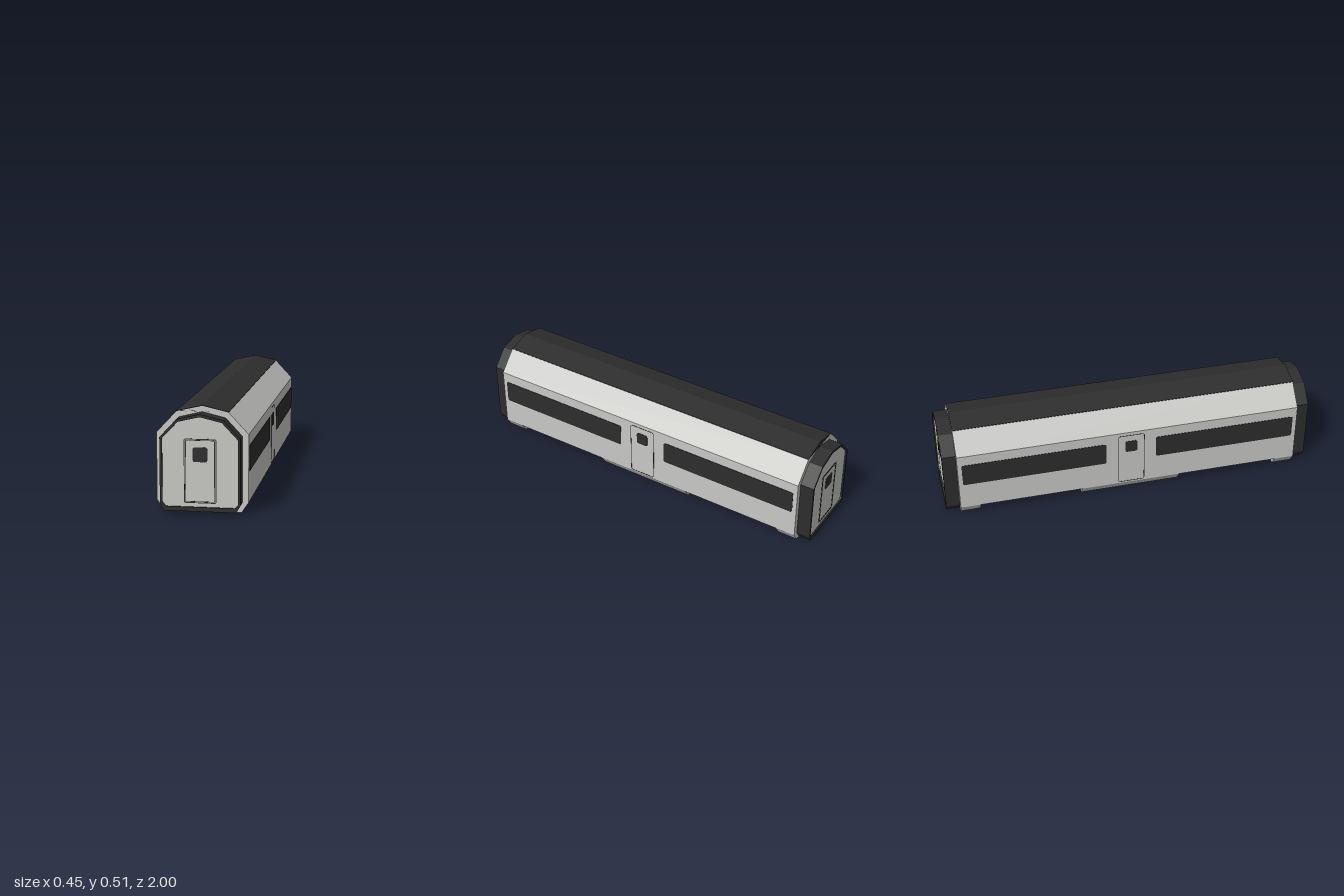
import * as THREE from 'three';

const light = new THREE.MeshStandardMaterial({ color: 0xc8c8c5 });
light.name = 'light grey paint';
const dark = new THREE.MeshStandardMaterial({ color: 0x2d2d2d });
dark.name = 'charcoal';

// Closed shape from the right half of a symmetric outline, listed bottom to top
function mirrored(half, Kind = THREE.Shape) {
  const left = half.filter(([x]) => x > 0).reverse().map(([x, y]) => [-x, y]);
  return new Kind([...half, ...left].map(([x, y]) => new THREE.Vector2(x, y)));
}

// Rectangle with rounded corners
function roundRect(w, h, r, Kind = THREE.Shape) {
  const s = new Kind();
  s.absarc(w / 2 - r, h / 2 - r, r, 0, Math.PI / 2);
  s.absarc(-w / 2 + r, h / 2 - r, r, Math.PI / 2, Math.PI);
  s.absarc(-w / 2 + r, -h / 2 + r, r, Math.PI, Math.PI * 1.5);
  s.absarc(w / 2 - r, -h / 2 + r, r, Math.PI * 1.5, Math.PI * 2);
  s.closePath();
  return s;
}

function outlineRect(w, h, r, line) {
  const s = roundRect(w, h, r);
  s.holes.push(roundRect(w - 2 * line, h - 2 * line, r * 0.6, THREE.Path));
  return s;
}

// Extrusion along z between z0 and z1
function slab(name, shape, z0, z1, material, parent) {
  const geo = new THREE.ExtrudeGeometry(shape, { depth: z1 - z0, bevelEnabled: false, curveSegments: 4 });
  geo.translate(0, 0, z0);
  const mesh = new THREE.Mesh(geo, material);
  mesh.name = name;
  parent.add(mesh);
  return mesh;
}

export function createModel() {
  const car = new THREE.Group();
  car.name = 'railCar';
  const L = 0.927;

  // Body shell, with a shallow channel along the underside
  slab('bodyShell', mirrored([
    [0.2, 0.07], [0.2, 0.05], [0.222, 0.05], [0.222, 0.38], [0.126, 0.483], [0, 0.512],
  ]), -L, L, light, car);

  // Dark roof skin over the two top faces
  slab('roof', mirrored([[0, 0.512], [0.126, 0.483], [0.126, 0.485], [0, 0.514]].slice(1).concat([])),
    -L, L, dark, car);

  // Dark floor underneath
  const floor = new THREE.Mesh(new THREE.BoxGeometry(0.4, 0.004, 2 * L - 0.01), dark);
  floor.name = 'underfloor';
  floor.position.y = 0.068;
  car.add(floor);

  // Equipment boxes below the floor, tapering inward
  const box = () => mirrored([[0.188, 0], [0.222, 0.05], [0.199, 0.0505], [0.199, 0.069]]);
  slab('centreEquipmentBox', box(), -0.27, 0.27, light, car);
  slab('frontEquipmentBox', box(), 0.82, L, light, car);
  slab('rearEquipmentBox', box(), -L, -0.82, light, car);

  // Ends: dark gangway collar, recessed panel and door
  for (const [name, turn] of [['front', 0], ['rear', Math.PI]]) {
    const end = new THREE.Group();
    end.name = name + 'End';
    end.rotation.y = turn;
    car.add(end);

    const inner = [[0.165, 0.037], [0.181, 0.054], [0.181, 0.365], [0.105, 0.445], [0, 0.47]];
    const collar = mirrored([[0.173, 0.016], [0.193, 0.05], [0.193, 0.37], [0.112, 0.457], [0, 0.484]]);
    collar.holes.push(mirrored(inner, THREE.Path));
    slab('collar', collar, L - 0.005, 1, dark, end);
    slab('endPanel', mirrored(inner), L - 0.005, 0.992, light, end);

    const door = new THREE.Group();
    door.name = 'endDoor';
    door.position.set(0, 0.21, 0.992);
    end.add(door);
    slab('doorOuterLine', outlineRect(0.156, 0.31, 0.008, 0.004), 0, 0.001, dark, door);
    slab('doorInnerLine', outlineRect(0.141, 0.298, 0.005, 0.003), 0, 0.001, dark, door);
    slab('doorWindow', roundRect(0.07, 0.07, 0.009), 0, 0.002, dark, door).position.y = 0.079;
  }

  // Sides: two long windows and a central door
  for (const [name, sign] of [['left', 1], ['right', -1]]) {
    const side = new THREE.Group();
    side.name = name + 'Side';
    side.position.x = sign * 0.222;
    side.rotation.y = sign * Math.PI / 2;
    car.add(side);

    for (const s of [-1, 1]) {
      slab('longWindow', roundRect(0.768, 0.125, 0.01), 0, 0.002, dark, side).position.set(s * 0.52, 0.261, 0);
    }
    slab('doorLine', outlineRect(0.146, 0.304, 0.012, 0.003), 0, 0.001, dark, side).position.y = 0.209;
    slab('doorWindow', roundRect(0.066, 0.068, 0.012), 0, 0.002, dark, side).position.y = 0.289;
  }
  return car;
}
